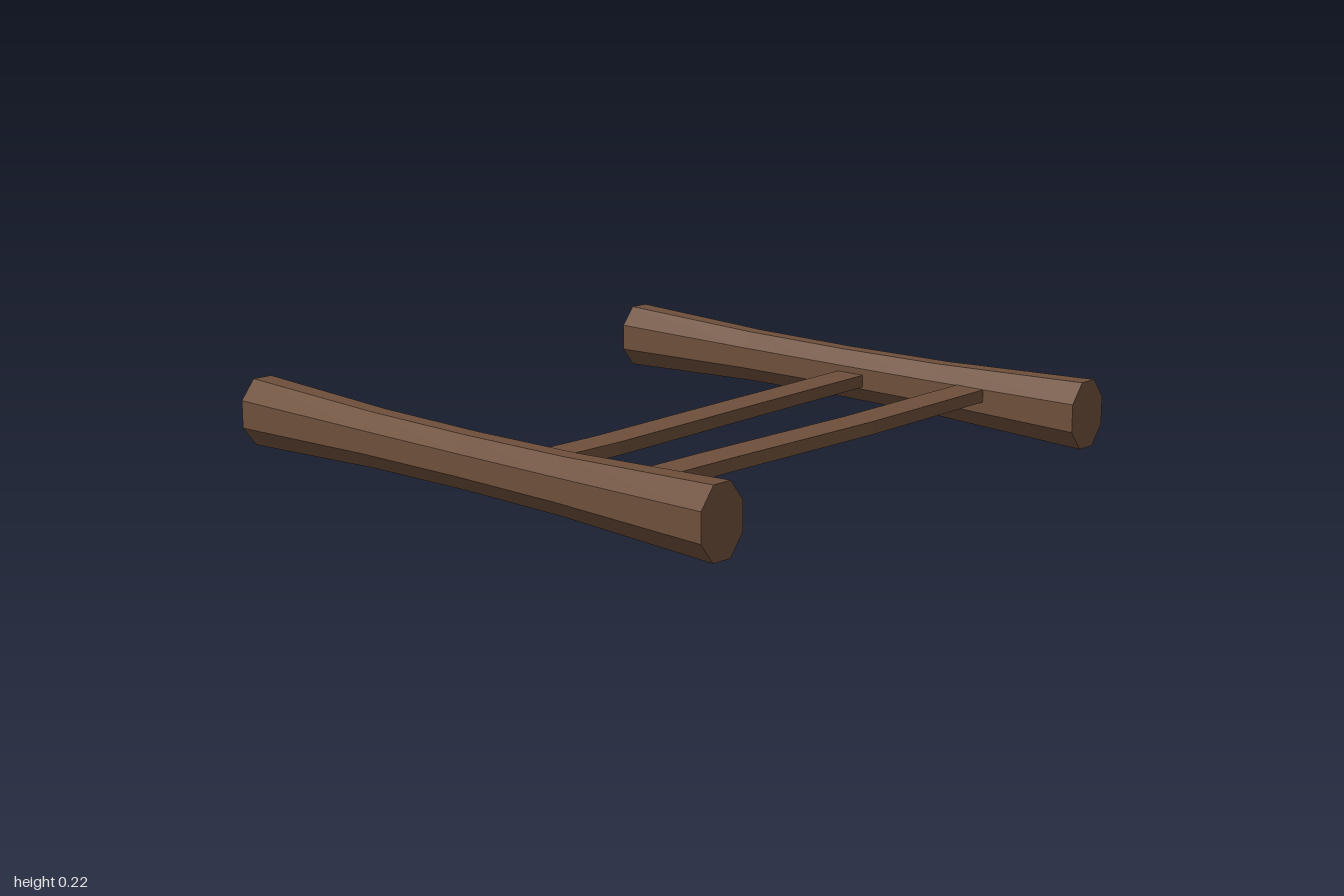
import * as THREE from 'three';

const POST_X = 0.885;
const POST_Y = 0.11;

// Octagonal post along z, flared toward both ends
function postGeometry() {
  const rings = [
    { z: 0, w: 0.066, h: 0.085 },
    { z: 0.42, w: 0.069, h: 0.089 },
    { z: 1, w: 0.085, h: 0.11 },
  ];
  const apothem = Math.cos(Math.PI / 8);
  const geo = new THREE.CylinderGeometry(1 / apothem, 1 / apothem, 2, 8, 4);
  geo.rotateY(Math.PI / 8);
  geo.rotateX(Math.PI / 2);
  const p = geo.attributes.position;
  for (let i = 0; i < p.count; i++) {
    const z = p.getZ(i);
    const ring = rings[Math.round(Math.abs(z) * 2)];
    p.setXYZ(i, p.getX(i) * ring.w, p.getY(i) * ring.h, Math.sign(z) * ring.z);
  }
  geo.computeVertexNormals();
  return geo;
}

// Flat rung along x, bent sideways through four stations
function rungGeometry(zs) {
  const xs = [-POST_X, -0.45, 0.2, POST_X];
  const geo = new THREE.BoxGeometry(3, 0.042, 0.11, 3, 1, 1);
  const p = geo.attributes.position;
  for (let i = 0; i < p.count; i++) {
    const k = Math.round(p.getX(i) + 1.5);
    p.setX(i, xs[k]);
    p.setZ(i, p.getZ(i) + zs[k]);
  }
  geo.computeVertexNormals();
  return geo;
}

export function createModel() {
  const model = new THREE.Group();
  model.name = 'ladderSection';
  const wood = new THREE.MeshStandardMaterial({ color: 0x6e4f3a });
  wood.name = 'brown wood';
  wood.flatShading = true;

  const add = (name, geo, x, y) => {
    const mesh = new THREE.Mesh(geo, wood);
    mesh.name = name;
    mesh.position.set(x, y, 0);
    model.add(mesh);
  };

  // Side posts
  const post = postGeometry();
  add('leftPost', post, POST_X, POST_Y);
  add('rightPost', post, -POST_X, POST_Y);

  // Crooked rungs, set at slightly different heights
  add('frontRung', rungGeometry([0.6, 0.597, 0.607, 0.585]), 0, 0.129);
  add('backRung', rungGeometry([0.14, 0.143, 0.106, 0.072]), 0, 0.103);

  return model;
}
